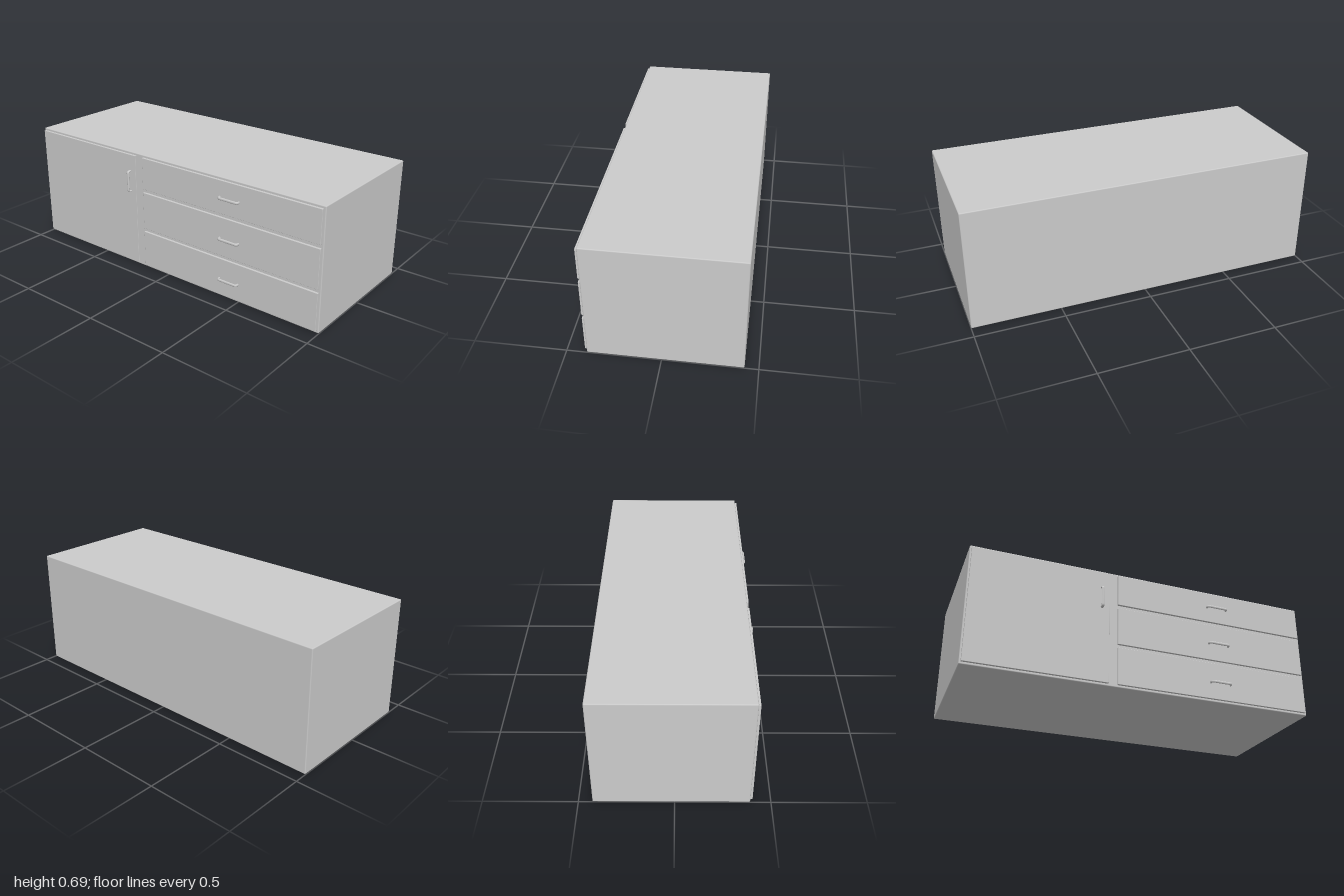
import * as THREE from 'three';
import { RoundedBoxGeometry } from 'three/addons/geometries/RoundedBoxGeometry.js';

const material = new THREE.MeshStandardMaterial({ color: 0xcccccc });

// Softly bevelled box given by its two opposite corners
function block(name, [x0, y0, z0], [x1, y1, z1], bevel) {
  const geometry = new RoundedBoxGeometry(x1 - x0, y1 - y0, z1 - z0, 1, bevel);
  const mesh = new THREE.Mesh(geometry, material);
  mesh.name = name;
  mesh.position.set((x0 + x1) / 2, (y0 + y1) / 2, (z0 + z1) / 2);
  return mesh;
}

// U-shaped bar pull with rounded corners and a flattened section
function pullGeometry() {
  const a = 0.061, out = 0.018, r = 0.012, foot = -0.004;
  const p = (x, z) => new THREE.Vector3(x, 0, z);
  const path = new THREE.CurvePath();
  path.add(new THREE.LineCurve3(p(-a, foot), p(-a, out - r)));
  path.add(new THREE.QuadraticBezierCurve3(p(-a, out - r), p(-a, out), p(-a + r, out)));
  path.add(new THREE.LineCurve3(p(-a + r, out), p(a - r, out)));
  path.add(new THREE.QuadraticBezierCurve3(p(a - r, out), p(a, out), p(a, out - r)));
  path.add(new THREE.LineCurve3(p(a, out - r), p(a, foot)));
  return new THREE.TubeGeometry(path, 64, 0.005, 12).scale(1, 1.6, 1);
}

export function createModel() {
  const group = new THREE.Group();
  group.name = 'sideboard';
  const back = -0.427, face = 0.393, front = 0.405;
  const pull = pullGeometry();

  const addPull = (name, x, y, upright) => {
    const mesh = new THREE.Mesh(pull, material);
    mesh.name = name;
    mesh.position.set(x, y, front);
    if (upright) mesh.rotation.z = Math.PI / 2;
    group.add(mesh);
  };

  // Carcass
  group.add(block('cabinetBody', [-1, 0, back], [1, 0.692, face], 0.006));

  // Cupboard door with upright pull
  group.add(block('door', [-0.99, 0.014, face - 0.002], [-0.218, 0.678, front], 0.002));
  addPull('doorHandle', -0.262, 0.519, true);

  // Three stacked drawers, bottom to top: [lower edge, upper edge, pull height]
  [[0.014, 0.23, 0.112], [0.25, 0.471, 0.352], [0.492, 0.678, 0.585]].forEach(([y0, y1, yPull], i) => {
    group.add(block(`drawerFront${i + 1}`, [-0.167, y0, face - 0.002], [0.988, y1, front], 0.002));
    addPull(`drawerHandle${i + 1}`, 0.444, yPull, false);
  });

  return group;
}
